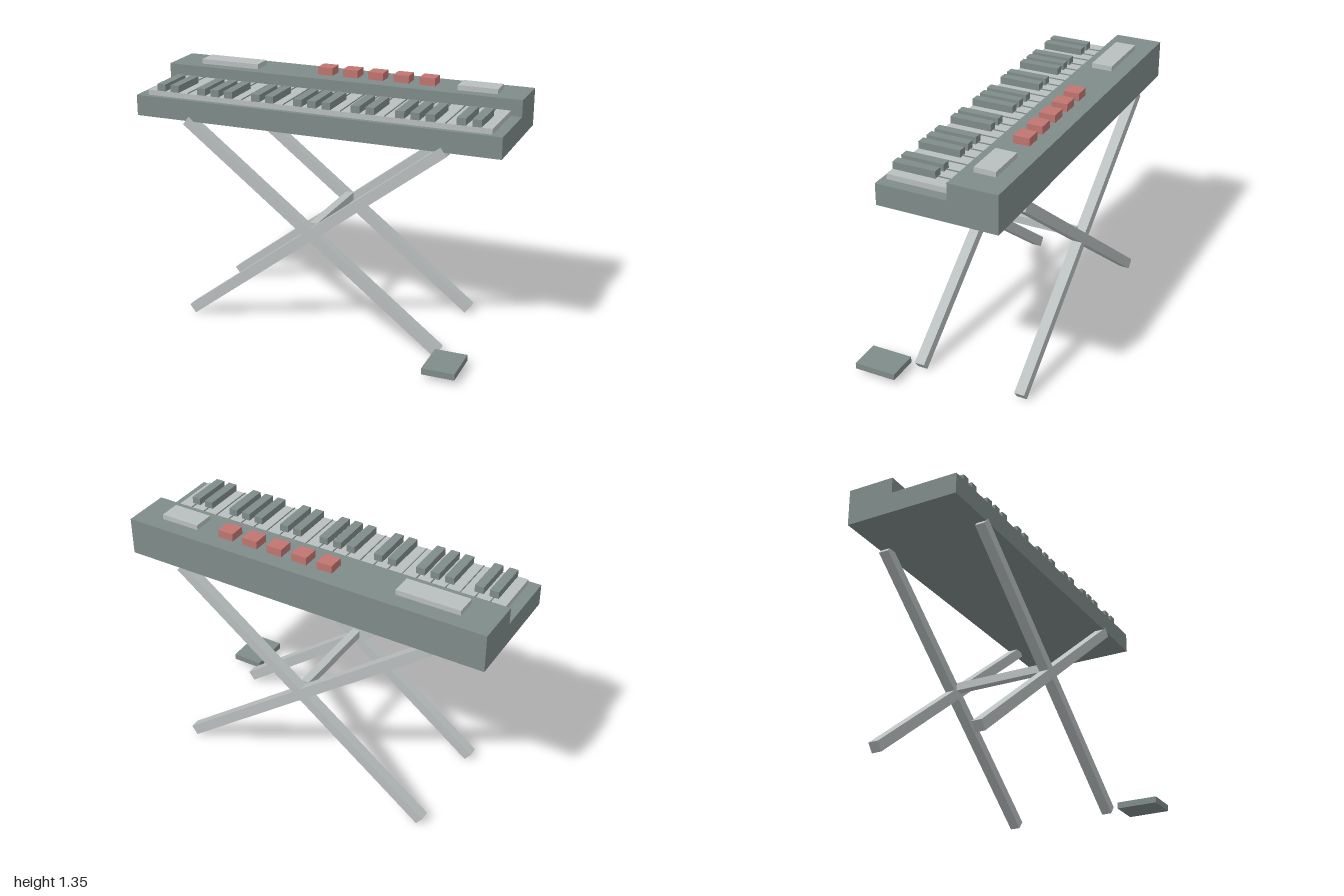
import * as THREE from 'three';

const mat = (name, color) => {
  const m = new THREE.MeshStandardMaterial({ color });
  m.name = name;
  return m;
};

export function createModel() {
  const slate = mat('slate', 0x7f8c8a);
  const pale = mat('paleGrey', 0xb9bebf);
  const red = mat('red', 0xc07570);
  const model = new THREE.Group();
  model.name = 'keyboardOnStand';

  // Box given by its extents on each axis
  const box = (name, material, [x0, x1], [y0, y1], [z0, z1], parent = model) => {
    const mesh = new THREE.Mesh(new THREE.BoxGeometry(x1 - x0, y1 - y0, z1 - z0), material);
    mesh.position.set((x0 + x1) / 2, (y0 + y1) / 2, (z0 + z1) / 2);
    mesh.name = name;
    parent.add(mesh);
    return mesh;
  };
  const group = (name) => {
    const g = new THREE.Group();
    g.name = name;
    model.add(g);
    return g;
  };

  // Body: stepped side profile (z, y) extruded along x
  const profile = [[0.185, 1.11], [0.185, 1.222], [-0.187, 1.222], [-0.187, 1.31], [-0.443, 1.31], [-0.443, 1.11]];
  const shape = new THREE.Shape(profile.map(([z, y]) => new THREE.Vector2(-z, y)));
  const bodyGeo = new THREE.ExtrudeGeometry(shape, { depth: 2, bevelEnabled: false });
  bodyGeo.translate(0, 0, -1).rotateY(Math.PI / 2);
  const body = new THREE.Mesh(bodyGeo, slate);
  body.name = 'body';
  model.add(body);

  // Keys: one white bed, thin dividers, raised black keys in groups of 2 and 3
  const keys = group('keys');
  const half = 0.942, count = 24, step = (2 * half) / count;
  box('whiteKeys', pale, [-half, half], [1.222, 1.25], [-0.187, 0.158], keys);
  for (let i = 1; i < count; i++) {
    const x = -half + i * step;
    box('keyDivider', slate, [x - 0.002, x + 0.002], [1.25, 1.255], [-0.187, 0.157], keys);
    if (i % 7 !== 3 && i % 7 !== 0) {
      box('blackKey', slate, [x - 0.0235, x + 0.0235], [1.25, 1.287], [-0.067, 0.157], keys);
    }
  }

  // Control panel
  const panel = group('controlPanel');
  box('displayPanel', pale, [-0.829, -0.49], [1.31, 1.337], [-0.359, -0.247], panel);
  box('sidePanel', pale, [0.642, 0.856], [1.31, 1.337], [-0.359, -0.247], panel);
  for (let i = 0; i < 5; i++) {
    const x = -0.102 + i * 0.143;
    box('button', red, [x - 0.0425, x + 0.0425], [1.31, 1.351], [-0.358, -0.273], panel);
  }

  // Stand: two crossed pairs of legs joined by a bar
  const stand = group('stand');
  const angle = Math.atan2(0.545, 0.71);
  for (const z of [0.158, -0.414]) {
    for (const side of [-1, 1]) {
      const leg = new THREE.Mesh(new THREE.BoxGeometry(1.79, 0.056, 0.055), pale);
      leg.position.set(0, 0.567, z);
      leg.rotation.z = side * angle;
      leg.name = 'leg';
      stand.add(leg);
    }
  }
  box('crossBar', pale, [-0.022, 0.022], [0.576, 0.62], [-0.39, 0.135], stand);

  // Foot pedal
  box('pedal', slate, [0.711, 0.884], [0.027, 0.061], [0.215, 0.443]);

  return model;
}
